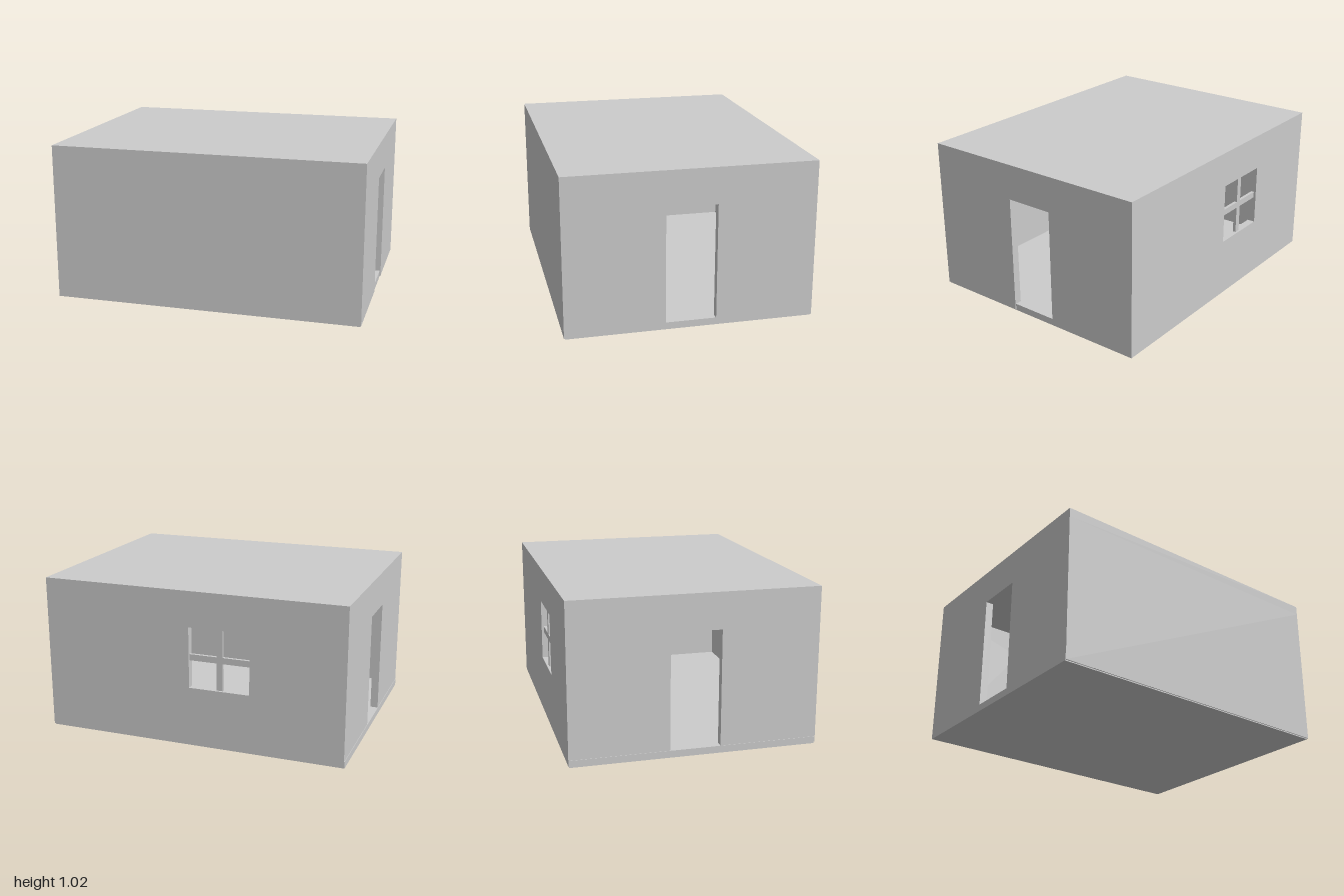
import * as THREE from 'three';

const material = new THREE.MeshStandardMaterial({ color: 0xcccccc, flatShading: true });

// Overall extents
const X0 = -0.997, X1 = 1, Z = 0.786, TOP = 1.016, BASE = 0.007;
const WALL = 0.05, ROOF = 0.06, FLOOR = 0.045;
const EAVE = TOP - ROOF;
const OPENING_TOP = 0.785;

function add(parent, name, geometry) {
  const mesh = new THREE.Mesh(geometry, material);
  mesh.name = name;
  parent.add(mesh);
  return mesh;
}

// Box given by its opposite corners
function block(parent, name, [x0, y0, z0], [x1, y1, z1]) {
  const geometry = new THREE.BoxGeometry(x1 - x0, y1 - y0, z1 - z0);
  geometry.translate((x0 + x1) / 2, (y0 + y1) / 2, (z0 + z1) / 2);
  return add(parent, name, geometry);
}

// Shape through a list of [x, y] corners
const polygon = (points, Type = THREE.Shape) =>
  new Type(points.map(([x, y]) => new THREE.Vector2(x, y)));

const rectangle = (x0, y0, x1, y1) => [[x0, y0], [x1, y0], [x1, y1], [x0, y1]];

const slab = (shape) => new THREE.ExtrudeGeometry(shape, { depth: WALL, bevelEnabled: false });

export function createModel() {
  const room = new THREE.Group();
  room.name = 'room';

  // Floor, set slightly inside the walls, and flat roof
  block(room, 'floor', [-1, 0, -Z + 0.006], [X1 - 0.006, FLOOR, Z - 0.006]);
  block(room, 'roof', [X0, EAVE, -Z], [X1, TOP, Z]);

  // Plain front wall
  block(room, 'frontWall', [X0, BASE, Z - WALL], [X1, EAVE, Z]);

  // Side walls with a doorway cut down to the ground
  const half = Z - WALL, door = 0.16;
  const doorWall = polygon([
    [-half, BASE], [-door, BASE], [-door, OPENING_TOP], [door, OPENING_TOP],
    [door, BASE], [half, BASE], [half, EAVE], [-half, EAVE],
  ]);
  for (const [name, x] of [['leftDoorWall', X1 - WALL], ['rightDoorWall', X0]]) {
    const wall = add(room, name, slab(doorWall));
    wall.rotation.y = Math.PI / 2;
    wall.position.x = x;
  }

  // Back wall with a square window opening
  const wx0 = -0.39, wx1 = 0.01, wy0 = 0.39, wy1 = OPENING_TOP;
  const backShape = polygon(rectangle(X0, BASE, X1, EAVE));
  backShape.holes.push(polygon(rectangle(wx0, wy0, wx1, wy1), THREE.Path));
  add(room, 'backWall', slab(backShape)).position.z = -Z;

  // Crossed glazing bars in the middle of the wall thickness
  const bars = new THREE.Group();
  bars.name = 'windowBars';
  room.add(bars);
  const cx = (wx0 + wx1) / 2, cy = (wy0 + wy1) / 2, cz = -Z + WALL / 2;
  const bar = 0.02, deep = 0.01;
  block(bars, 'verticalBar', [cx - bar, wy0, cz - deep], [cx + bar, wy1, cz + deep]);
  block(bars, 'horizontalBarRight', [wx0, cy - bar, cz - deep], [cx - bar, cy + bar, cz + deep]);
  block(bars, 'horizontalBarLeft', [cx + bar, cy - bar, cz - deep], [wx1, cy + bar, cz + deep]);

  return room;
}
